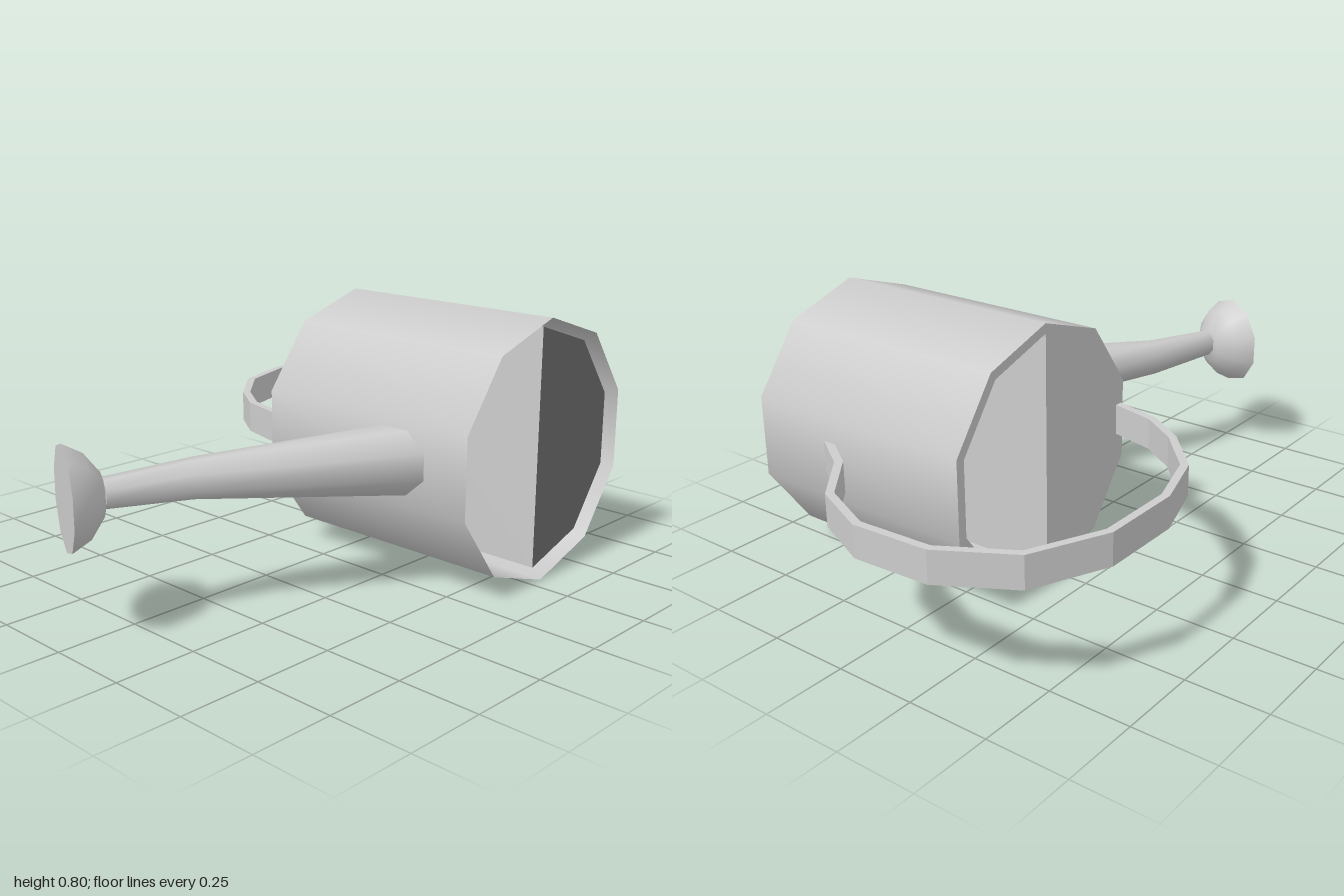
import * as THREE from 'three';

const CX = 0.3, CY = 0.4, BACK = -0.145, FRONT = 0.62, FLOOR = 0.59;
const R = 0.4, R_IN = 0.37, SIDES = 10;

const grey = new THREE.MeshStandardMaterial({ color: 0xcccccc, side: THREE.DoubleSide });
grey.name = 'metalGrey';
const dark = new THREE.MeshStandardMaterial({ color: 0x6e6e6e, side: THREE.DoubleSide });
dark.name = 'darkGrey';

function add(parent, name, geometry, material = grey) {
  const mesh = new THREE.Mesh(geometry, material);
  mesh.name = name;
  parent.add(mesh);
  return mesh;
}

// Corners of a ten-sided ring, clockwise from the top
function ringPoints(radius, count) {
  return Array.from({ length: count }, (_, i) => {
    const a = (i / SIDES) * Math.PI * 2;
    return new THREE.Vector2(Math.sin(a) * radius, Math.cos(a) * radius);
  });
}

// Open tube lying along z, from z0 (back) to z1 (front)
function wall(radius, z0, z1, segments, angle) {
  return new THREE.CylinderGeometry(radius, radius, z1 - z0, segments, 1, true, 0, angle)
    .rotateX(-Math.PI / 2)
    .translate(CX, CY, (z0 + z1) / 2);
}

function makeBody() {
  const body = new THREE.Group();
  body.name = 'body';
  add(body, 'outerWall', wall(R, BACK, FRONT, SIDES, Math.PI * 2));

  // Half lid and rim around the filling opening
  const half = ringPoints(R_IN, 6);
  const lid = new THREE.Shape(ringPoints(R, SIDES));
  lid.holes.push(new THREE.Path(half));
  add(body, 'halfLid', new THREE.ShapeGeometry(lid).rotateY(Math.PI).scale(-1, 1, 1)
    .translate(CX, CY, BACK));

  // Half-round pocket behind the opening
  add(body, 'pocketWall', wall(R_IN, BACK, FLOOR, SIDES / 2, Math.PI));
  add(body, 'pocketDivider', new THREE.PlaneGeometry(FLOOR - BACK, R_IN * 2)
    .rotateY(Math.PI / 2).translate(CX, CY, (BACK + FLOOR) / 2));
  add(body, 'pocketFloor', new THREE.ShapeGeometry(new THREE.Shape(half))
    .translate(CX, CY, FLOOR), dark);
  return body;
}

// Flat band bent along a path in the x-z plane
function makeHandle() {
  const path = [
    [-0.06, -0.14], [-0.02, -0.295], [0.06, -0.415], [0.205, -0.547], [0.395, -0.609],
    [0.645, -0.609], [0.86, -0.512], [0.975, -0.315], [0.987, -0.085], [0.91, 0.092],
    [0.757, 0.22], [0.667, 0.36],
  ].map(([x, z]) => new THREE.Vector2(x, -z));
  const offset = (d) => path.map((p, i) => {
    const a = path[Math.max(i - 1, 0)], b = path[Math.min(i + 1, path.length - 1)];
    const t = b.clone().sub(a).normalize();
    return new THREE.Vector2(p.x - t.y * d, p.y + t.x * d);
  });
  const shape = new THREE.Shape([...offset(0.012), ...offset(-0.012).reverse()]);
  return new THREE.ExtrudeGeometry(shape, { depth: 0.095, bevelEnabled: false })
    .rotateX(-Math.PI / 2).translate(0, 0.355, 0);
}

// Eight-sided tapering spout: centre x/z, half width as x/z, half height
function makeSpout() {
  const sections = [
    { x: -0.055, z: 0.375, ux: 0.01, uz: 0.118, h: 0.098 },
    { x: -0.59, z: 0.078, ux: -0.027, uz: 0.04, h: 0.055 },
    { x: -0.845, z: 0.008, ux: -0.01, uz: 0.036, h: 0.04 },
  ];
  const N = 8, k = 1 / Math.cos(Math.PI / N);
  const position = [], index = [];
  for (const s of sections) {
    for (let i = 0; i < N; i++) {
      const a = ((i + 0.5) / N) * Math.PI * 2;
      const c = Math.cos(a) * k, y = Math.sin(a) * k;
      position.push(s.x + s.ux * c, 0.405 + s.h * y, s.z + s.uz * c);
    }
  }
  for (let r = 0; r < sections.length - 1; r++) {
    for (let i = 0; i < N; i++) {
      const a = r * N + i, b = r * N + ((i + 1) % N);
      index.push(a, b, a + N, b, b + N, a + N);
    }
  }
  const tube = new THREE.BufferGeometry();
  tube.setAttribute('position', new THREE.Float32BufferAttribute(position, 3));
  tube.setIndex(index);
  tube.computeVertexNormals();

  // Cap of the end inside the can
  const cap = new THREE.BufferGeometry();
  cap.setAttribute('position', new THREE.Float32BufferAttribute(position.slice(0, N * 3), 3));
  const fan = [];
  for (let i = 1; i < N - 1; i++) fan.push(0, i + 1, i);
  cap.setIndex(fan);
  cap.computeVertexNormals();

  const spout = new THREE.Group();
  spout.name = 'spout';
  add(spout, 'spoutTube', tube);
  add(spout, 'spoutInnerEnd', cap);
  return spout;
}

// Domed sprinkler head with a flat face, tilted at the spout tip
function makeRose() {
  const profile = [[0.15, 0], [0.119, 0.055], [0.062, 0.098], [0, 0.108]]
    .map(([r, y]) => new THREE.Vector2(r, y));
  const rose = new THREE.Group();
  rose.name = 'sprinklerHead';
  add(rose, 'headDome', new THREE.LatheGeometry(profile, SIDES));
  add(rose, 'headFace', new THREE.CircleGeometry(0.15, SIDES, Math.PI / 2).rotateX(Math.PI / 2));
  const axis = new THREE.Vector3(0.907, 0, 0.42).normalize();
  const up = new THREE.Vector3(0, 1, 0);
  const side = new THREE.Vector3().crossVectors(axis, up);
  rose.quaternion.setFromRotationMatrix(new THREE.Matrix4().makeBasis(side, axis, up));
  rose.position.set(-0.932, 0.4, -0.036);
  return rose;
}

export function createModel() {
  const model = new THREE.Group();
  model.name = 'wateringCan';
  model.add(makeBody(), makeSpout(), makeRose());
  add(model, 'handle', makeHandle());
  return model;
}
